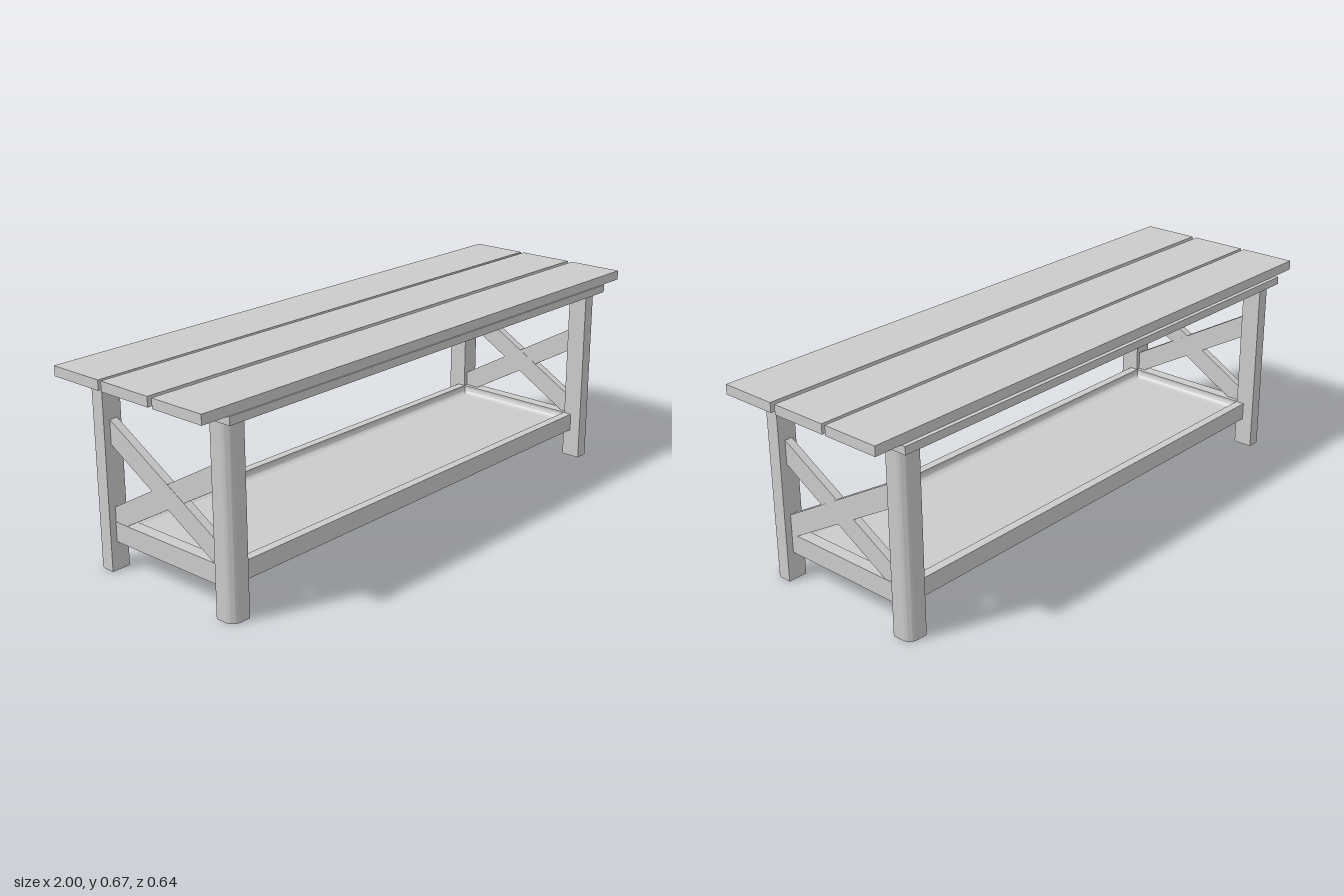
import * as THREE from 'three';
import { toCreasedNormals } from 'three/addons/utils/BufferGeometryUtils.js';

const material = new THREE.MeshStandardMaterial({ color: 0xcccccc });

export function createModel() {
  const model = new THREE.Group();
  model.name = 'bench';

  const add = (name, geometry, parent = model) => {
    const mesh = new THREE.Mesh(geometry, material);
    mesh.name = name;
    parent.add(mesh);
    return mesh;
  };
  // Box given by its lower and upper limits on each axis
  const box = (name, [x0, x1], [y0, y1], [z0, z1]) => {
    const mesh = add(name, new THREE.BoxGeometry(x1 - x0, y1 - y0, z1 - z0));
    mesh.position.set((x0 + x1) / 2, (y0 + y1) / 2, (z0 + z1) / 2);
    return mesh;
  };
  const extrude = (shape, depth) =>
    new THREE.ExtrudeGeometry(shape, { depth, bevelEnabled: false, curveSegments: 10 });

  // Seat: three planks on a thin slab
  for (const z of [0.216, 0.002, -0.207]) box('seatPlank', [-1, 1], [0.635, 0.667], [z - 0.098, z + 0.098]);
  box('seatSupport', [-0.905, 0.905], [0.609, 0.635], [-0.319, 0.319]);

  // Legs: square posts with the outer corner rounded
  const legGeometry = (sx, sz) => {
    const [xi, xo, zi, zo, r] = [0.829, 0.895, 0.229, 0.296, 0.032];
    const p = (x, z) => [sx * x, -sz * z];
    const shape = new THREE.Shape();
    shape.moveTo(...p(xi, zi));
    shape.lineTo(...p(xo, zi));
    shape.lineTo(...p(xo, zo - r));
    shape.bezierCurveTo(...p(xo, zo - r * 0.45), ...p(xo - r * 0.45, zo), ...p(xo - r, zo));
    shape.lineTo(...p(xi, zo));
    shape.closePath();
    return toCreasedNormals(extrude(shape, 0.609).rotateX(-Math.PI / 2), 0.5);
  };
  for (const sx of [-1, 1]) for (const sz of [-1, 1]) add('leg', legGeometry(sx, sz));

  // Cross braces, lower edges given at the front leg and the back leg
  const brace = (frontY, backY, x, thickness) => {
    const shape = new THREE.Shape([
      new THREE.Vector2(-0.229, backY), new THREE.Vector2(0.229, frontY),
      new THREE.Vector2(0.229, frontY + 0.079), new THREE.Vector2(-0.229, backY + 0.079),
    ]);
    const geometry = extrude(shape, thickness).rotateY(-Math.PI / 2);
    add('crossBrace', geometry.translate(x + thickness / 2, 0, 0));
  };
  for (const s of [-1, 1]) {
    brace(0.391, 0.128, s * 0.858, 0.026);
    brace(0.143, 0.407, s * 0.858, 0.028);
    box('shelfEndRail', s > 0 ? [0.83, 0.872] : [-0.872, -0.83], [0.093, 0.158], [-0.23, 0.23]);
    box('shelfLongRail', [-0.83, 0.83], [0.098, 0.158], s > 0 ? [0.227, 0.257] : [-0.257, -0.227]);
  }

  // Recessed shelf floor with a small cove along the rails
  const floorY = 0.13;
  box('shelfFloor', [-0.83, 0.83], [0.096, floorY], [-0.228, 0.228]);
  const cove = new THREE.Shape();
  cove.moveTo(0, 0);
  cove.lineTo(0.02, 0);
  cove.quadraticCurveTo(0.002, 0.002, 0, 0.02);
  cove.closePath();
  for (let i = 0; i < 4; i++) {
    const [length, distance] = i % 2 ? [1.66, 0.227] : [0.454, 0.83];
    const geometry = extrude(cove, length).translate(-distance, floorY, -length / 2);
    add('shelfCove', toCreasedNormals(geometry.rotateY(i * Math.PI / 2), 0.5));
  }

  return model;
}
